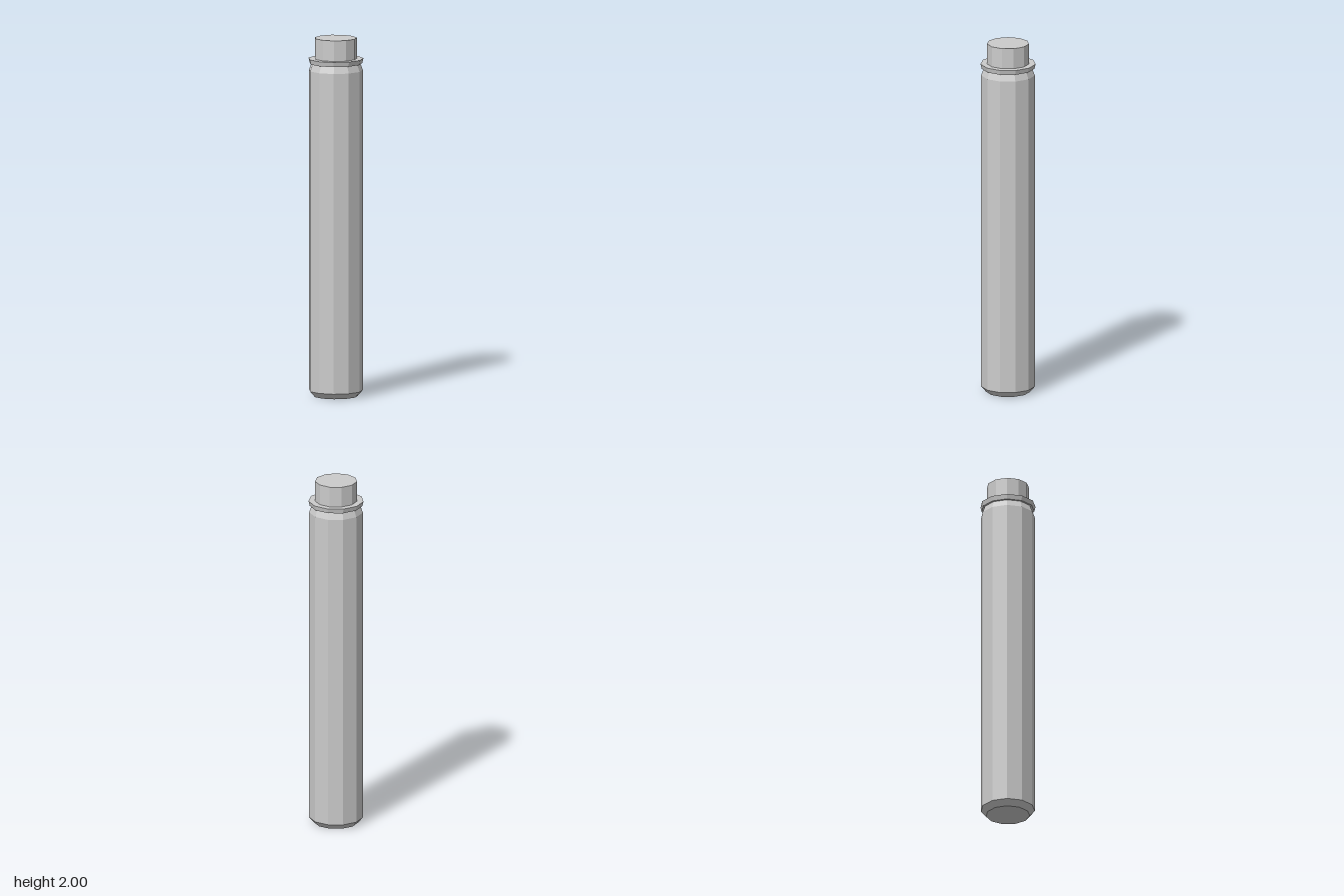
import * as THREE from 'three';

const SIDES = 11;

// Closed low-poly turned part from [radius, height] pairs, bottom to top
function turned(name, profile, material) {
  const points = profile.map(([r, y]) => new THREE.Vector2(r, y));
  const mesh = new THREE.Mesh(new THREE.LatheGeometry(points, SIDES), material);
  mesh.name = name;
  return mesh;
}

export function createModel() {
  const material = new THREE.MeshStandardMaterial({ color: 0xcccccc, flatShading: true });
  const group = new THREE.Group();
  group.name = 'tube';

  // Long body with bevelled foot and sloped shoulder
  group.add(turned('body', [[0, 0], [0.122, 0], [0.15, 0.032], [0.15, 1.82], [0.134, 1.862], [0, 1.862]], material));
  // Thin collar, slightly flared towards the top
  group.add(turned('collar', [[0, 1.858], [0.147, 1.858], [0.1535, 1.885], [0, 1.885]], material));
  // Narrow cap
  group.add(turned('cap', [[0, 1.885], [0.117, 1.885], [0.117, 2], [0, 2]], material));

  // A corner points to the back; recentre the odd-sided outline
  group.rotation.y = Math.PI;
  group.position.z = 0.003;
  return group;
}
